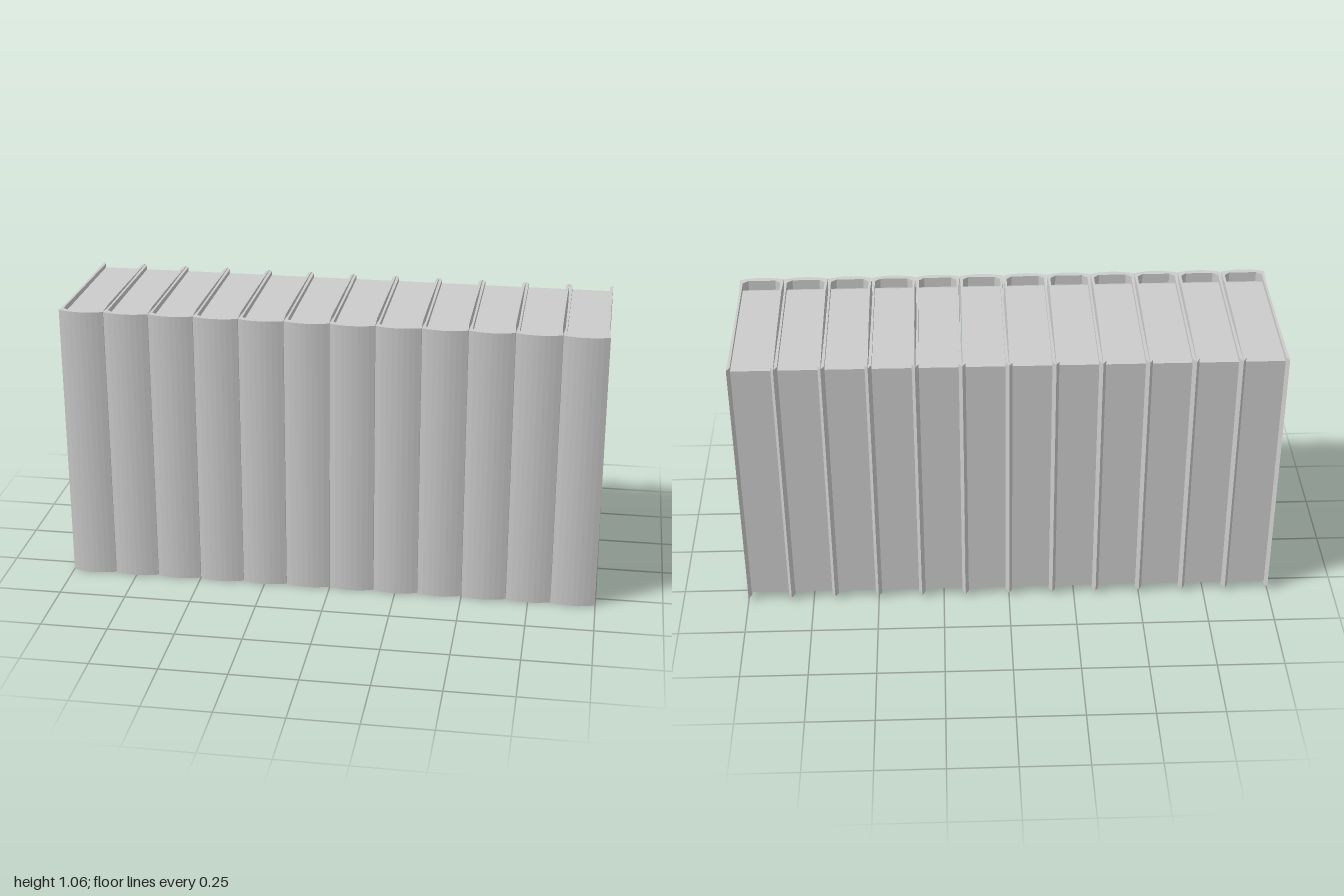
import * as THREE from 'three';

const COUNT = 12, PITCH = 2 / COUNT, HEIGHT = 1.06;
const HALF = 0.0825;   // half the width of one book
const INNER = 0.071;   // half the width of the page block
const BACK = -0.32, SHOULDER = 0.305, BULGE = 0.015;

// One U-shaped binding: rounded spine in front, two boards running back
function bindingGeometry() {
  const points = [];
  const add = (x, z) => points.push(new THREE.Vector2(x, -z));
  add(HALF, BACK);
  add(HALF - 0.003, -0.05);
  add(HALF - 0.004, 0.22);
  add(HALF, 0.29);
  for (let i = 0; i <= 8; i++) {
    const t = 1 - i / 4;
    add(HALF * t, SHOULDER + BULGE * (1 - t * t));
  }
  add(-HALF, 0.29);
  add(-HALF + 0.004, 0.22);
  add(-HALF + 0.003, -0.05);
  add(-HALF, BACK);
  // inside of the boards, with bevelled rear edges
  add(-INNER, BACK + 0.02);
  add(-INNER, 0.28);
  add(-INNER + 0.02, 0.297);
  add(INNER - 0.02, 0.297);
  add(INNER, 0.28);
  add(INNER, BACK + 0.02);
  const geo = new THREE.ExtrudeGeometry(new THREE.Shape(points), { depth: HEIGHT, bevelEnabled: false });
  geo.rotateX(-Math.PI / 2);

  // the boards become slightly shorter toward the back
  const p = geo.attributes.position;
  for (let i = 0; i < p.count; i++) {
    const inset = 0.015 * Math.max(0, (SHOULDER - p.getZ(i)) / (SHOULDER - BACK));
    p.setY(i, p.getY(i) > HEIGHT / 2 ? HEIGHT - inset : inset);
  }
  geo.computeVertexNormals();
  return geo;
}

// Page block: side profile with sloped ends beside the spine
function pagesGeometry() {
  const outline = [[-0.3, 0.03], [0.26, 0.022], [0.298, 0.04], [0.298, 1.02], [0.26, 1.038], [-0.3, 1.03]];
  const shape = new THREE.Shape(outline.map(([z, y]) => new THREE.Vector2(-z, y)));
  const width = 2 * INNER + 0.002;
  const geo = new THREE.ExtrudeGeometry(shape, { depth: width, bevelEnabled: false });
  geo.translate(0, 0, -width / 2);
  geo.rotateY(Math.PI / 2);
  return geo;
}

export function createModel() {
  const model = new THREE.Group();
  model.name = 'bookRow';
  const material = new THREE.MeshStandardMaterial({ color: 0xcccccc, flatShading: true });
  const binding = bindingGeometry();
  const pages = pagesGeometry();

  for (let i = 0; i < COUNT; i++) {
    const book = new THREE.Group();
    book.name = 'book' + (i + 1);
    const cover = new THREE.Mesh(binding, material);
    cover.name = 'cover';
    const block = new THREE.Mesh(pages, material);
    block.name = 'pages';
    book.add(cover, block);
    book.position.x = -1 + PITCH * (i + 0.5);
    model.add(book);
  }
  return model;
}
